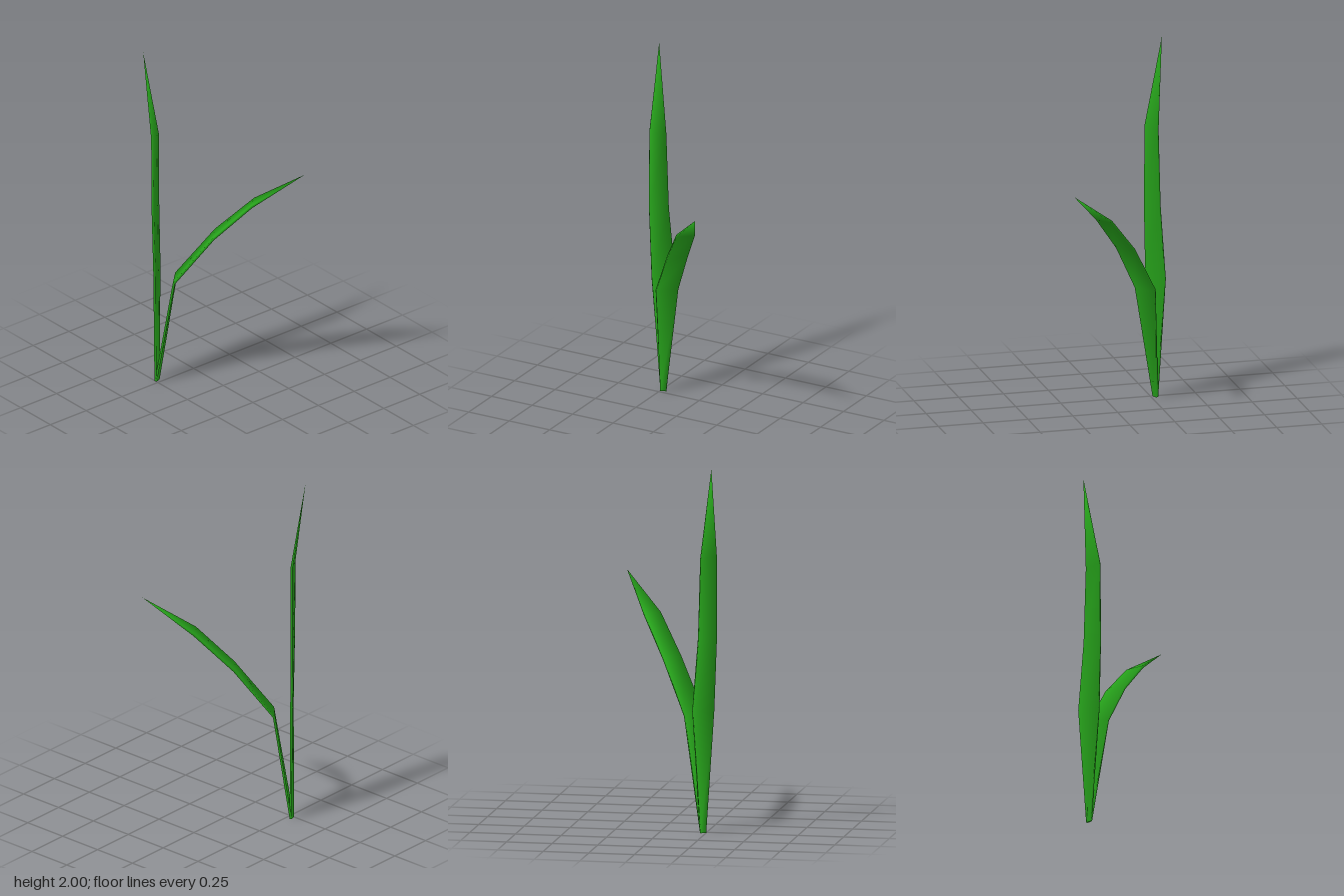
import * as THREE from 'three';

const V = (p) => new THREE.Vector3(...p);
const THICKNESS = 0.013;

// Thin four-sided blade lofted through left/right edge pairs and closed to a point
function bladeGeometry(edges, tipPoint) {
  const tip = V(tipPoint);
  const rings = edges.map(([l, r]) => ({ l: V(l), r: V(r), mid: V(l).add(V(r)).multiplyScalar(0.5) }));
  const pos = [], nor = [], index = [];

  rings.forEach(({ l, r, mid }, i) => {
    const before = i > 0 ? rings[i - 1].mid : mid;
    const after = i < rings.length - 1 ? rings[i + 1].mid : tip;
    const w = r.clone().sub(l).normalize();
    const n = w.clone().cross(after.clone().sub(before)).normalize();
    // corners: upper left, upper right, lower right, lower left
    for (const [side, face] of [[-1, 1], [1, 1], [1, -1], [-1, -1]]) {
      const p = (side < 0 ? l : r).clone().addScaledVector(n, face * THICKNESS / 2);
      if (i === 0) p.y = 0;
      pos.push(...p.toArray());
      // rounded shading across the flat face
      nor.push(...n.clone().multiplyScalar(face).addScaledVector(w, side).normalize().toArray());
    }
  });

  // the point
  const last = rings.length - 1;
  const tipIndex = rings.length * 4;
  pos.push(...tip.toArray());
  nor.push(...tip.clone().sub(rings[last].mid).normalize().toArray());

  for (let i = 0; i <= last; i++) {
    for (let k = 0; k < 4; k++) {
      const a = i * 4 + k, b = i * 4 + (k + 1) % 4;
      if (i === last) index.push(a, b, tipIndex);
      else index.push(a, b, b + 4, a, b + 4, a + 4);
    }
  }
  index.push(0, 2, 1, 0, 3, 2); // base cap

  const g = new THREE.BufferGeometry();
  g.setAttribute('position', new THREE.Float32BufferAttribute(pos, 3));
  g.setAttribute('normal', new THREE.Float32BufferAttribute(nor, 3));
  g.setIndex(index);
  return g;
}

export function createModel() {
  const group = new THREE.Group();
  group.name = 'grassTuft';
  const green = new THREE.MeshStandardMaterial({ color: 0x28a81c });

  const addBlade = (name, edges, tip) => {
    const mesh = new THREE.Mesh(bladeGeometry(edges, tip), green);
    mesh.name = name;
    group.add(mesh);
  };

  // upright blade, its tip bending backwards
  addBlade('tallBlade', [
    [[-0.25, 0, -0.27], [-0.22, 0, -0.28]],
    [[-0.285, 0.66, -0.235], [-0.186, 0.67, -0.315]],
    [[-0.3, 1.07, -0.232], [-0.213, 1.07, -0.293]],
    [[-0.3, 1.51, -0.236], [-0.223, 1.5, -0.284]],
  ], [-0.29, 2, -0.325]);

  // shorter blade arching out to the front left
  addBlade('archedBlade', [
    [[-0.25, 0, -0.267], [-0.22, 0, -0.28]],
    [[-0.215, 0.63, -0.157], [-0.127, 0.63, -0.243]],
    [[-0.062, 0.91, -0.01], [0.02, 0.91, -0.088]],
    [[0.08, 1.12, 0.14], [0.157, 1.12, 0.077]],
  ], [0.3, 1.32, 0.325]);

  return group;
}
